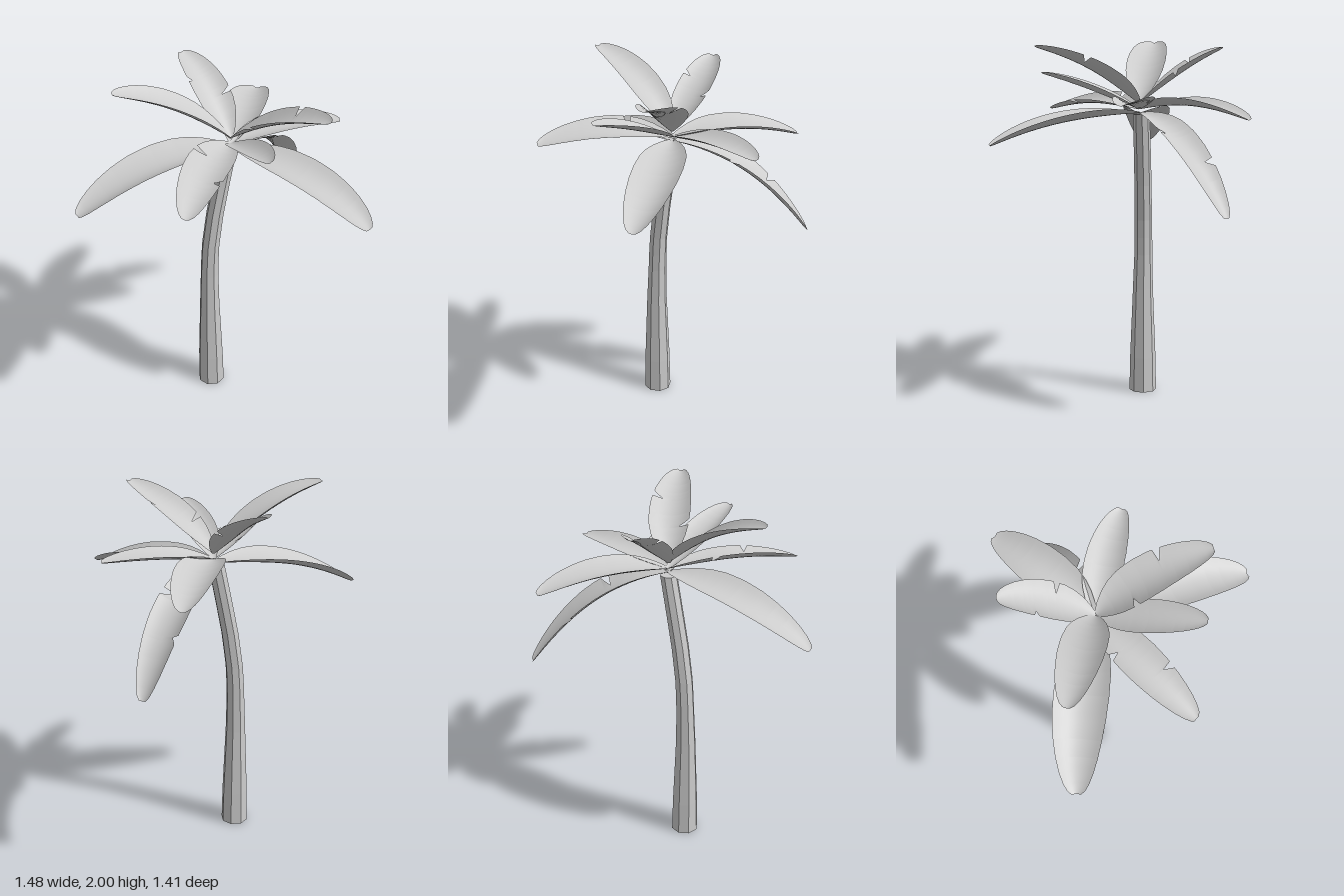
import * as THREE from 'three';

const material = new THREE.MeshStandardMaterial({ color: 0xcccccc, side: THREE.DoubleSide });
const trunkMaterial = new THREE.MeshStandardMaterial({ color: 0xcccccc, flatShading: true });
const V = (p) => new THREE.Vector3(...p);

// Linear interpolation in a list of [position, value] pairs
function lookup(table, t) {
  let i = 1;
  while (i < table.length - 1 && table[i][0] < t) i++;
  const [a, va] = table[i - 1], [b, vb] = table[i];
  return THREE.MathUtils.lerp(va, vb, THREE.MathUtils.clamp((t - a) / (b - a), 0, 1));
}

// Octagonal trunk: a cylinder bent along a leaning curve
function makeTrunk() {
  const height = 1.59;
  const xs = [[0, -0.145], [0.6, -0.146], [0.85, -0.144], [1, -0.136], [1.2, -0.112], [1.4, -0.078], [1.6, -0.042]];
  const zs = [[0, 0.06], [0.6, 0.06], [0.85, 0.055], [1, 0.05], [1.2, 0.035], [1.4, 0.015], [1.6, -0.005]];
  const radii = [[0, 0.077], [0.2, 0.073], [0.4, 0.065], [0.6, 0.057], [0.8, 0.051], [1, 0.049], [1.6, 0.046]];
  const geo = new THREE.CylinderGeometry(1, 1, height, 8, 16);
  geo.rotateY(-0.08).translate(0, height / 2, 0);
  const p = geo.attributes.position;
  for (let i = 0; i < p.count; i++) {
    const y = p.getY(i), r = lookup(radii, y);
    p.setXYZ(i, p.getX(i) * r + lookup(xs, y), y, p.getZ(i) * r + lookup(zs, y));
  }
  geo.computeVertexNormals();
  const mesh = new THREE.Mesh(geo, trunkMaterial);
  mesh.name = 'trunk';
  return mesh;
}

// Frond outline: half width along the length, as a share of the widest point
const outline = [[0, 0.12], [0.07, 0.4], [0.15, 0.65], [0.23, 0.83], [0.32, 0.95], [0.45, 1], [0.58, 0.97],
  [0.7, 0.88], [0.8, 0.76], [0.88, 0.62], [0.94, 0.47], [0.98, 0.32], [1, 0.17]];

// Trough-shaped frond along a spine through base, mid and tip; tears are [side, t, depth]
function makeFrond({ base, mid, tip, width, roll = 0, tears = [] }) {
  const a = V(base), c = V(tip);
  const control = V(mid).multiplyScalar(2).addScaledVector(a, -0.5).addScaledVector(c, -0.5);
  const spine = new THREE.QuadraticBezierCurve3(a, control, c);
  const rows = outline.map(([t]) => t);
  for (let i = 1; i < 20; i++) rows.push(i / 20 + 0.003);
  for (const [, t] of tears) rows.push(t - 0.008, t, t + 0.045);
  rows.sort((p, q) => p - q);

  const columns = 10, positions = [], index = [];
  rows.forEach((t, row) => {
    const point = spine.getPoint(t), tangent = spine.getTangent(t);
    const side = tangent.clone().cross(new THREE.Vector3(0, 1, 0)).normalize();
    const up = side.clone().cross(tangent);
    side.applyAxisAngle(tangent, -roll);
    up.applyAxisAngle(tangent, -roll);
    const half = width * lookup(outline, t);
    for (let j = 0; j <= columns; j++) {
      let u = (j / columns) * 2 - 1;
      for (const [s, at, depth] of tears) {
        if (s * u > 0) u *= 1 - lookup([[at - 0.008, 0], [at, depth], [at + 0.045, 0]], t);
      }
      const lift = 0.38 * half * (u * u - 0.4);
      const v = point.clone().addScaledVector(side, u * half).addScaledVector(up, lift);
      positions.push(v.x, v.y, v.z);
      if (row && j) {
        const k = row * (columns + 1) + j, m = k - columns - 1;
        index.push(m - 1, m, k, m - 1, k, k - 1);
      }
    }
  });
  const geo = new THREE.BufferGeometry();
  geo.setAttribute('position', new THREE.Float32BufferAttribute(positions, 3));
  geo.setIndex(index);
  geo.computeVertexNormals();
  return new THREE.Mesh(geo, material);
}

const low = [-0.03, 1.6, 0], middle = [-0.03, 1.62, 0], high = [-0.03, 1.65, 0];
const fronds = {
  backFrond: { base: middle, mid: [-0.02, 1.66, -0.35], tip: [-0.015, 1.58, -0.7], width: 0.118 },
  droopingBackFrond: { base: low, mid: [0.1, 1.47, -0.36], tip: [0.19, 1.1, -0.7], width: 0.108,
    tears: [[1, 0.4, 0.6], [-1, 0.68, 0.4]] },
  backLeftFrond: { base: middle, mid: [0.22, 1.67, -0.155], tip: [0.5, 1.655, -0.28], width: 0.1 },
  raisedBackRightFrond: { base: high, mid: [-0.19, 1.84, -0.18], tip: [-0.36, 1.95, -0.32], width: 0.1,
    tears: [[1, 0.38, 0.45], [-1, 0.6, 0.35]] },
  raisedFrontRightFrond: { base: high, mid: [-0.28, 1.88, 0.13], tip: [-0.555, 1.995, 0.28], width: 0.11 },
  raisedFrontLeftFrond: { base: high, mid: [0.22, 1.84, 0.11], tip: [0.495, 1.95, 0.28], width: 0.11,
    tears: [[-1, 0.62, 0.5], [1, 0.33, 0.5]] },
  lowFrontLeftFrond: { base: low, mid: [0.39, 1.575, 0.19], tip: [0.725, 1.445, 0.39], width: 0.125 },
  lowFrontRightFrond: { base: low, mid: [-0.4, 1.57, 0.22], tip: [-0.725, 1.39, 0.47], width: 0.135 },
  frontFrond: { base: middle, mid: [-0.085, 1.665, 0.34], tip: [-0.11, 1.61, 0.7], width: 0.112, roll: 0.2,
    tears: [[1, 0.32, 0.6], [-1, 0.62, 0.4]] },
  frontLeftFrond: { base: middle, mid: [0.11, 1.74, 0.24], tip: [0.24, 1.815, 0.465], width: 0.09 },
};

export function createModel() {
  const model = new THREE.Group();
  model.name = 'palmTree';
  model.add(makeTrunk());
  const crown = new THREE.Group();
  crown.name = 'crown';
  for (const [name, spec] of Object.entries(fronds)) {
    const frond = makeFrond(spec);
    frond.name = name;
    crown.add(frond);
  }
  model.add(crown);
  return model;
}
